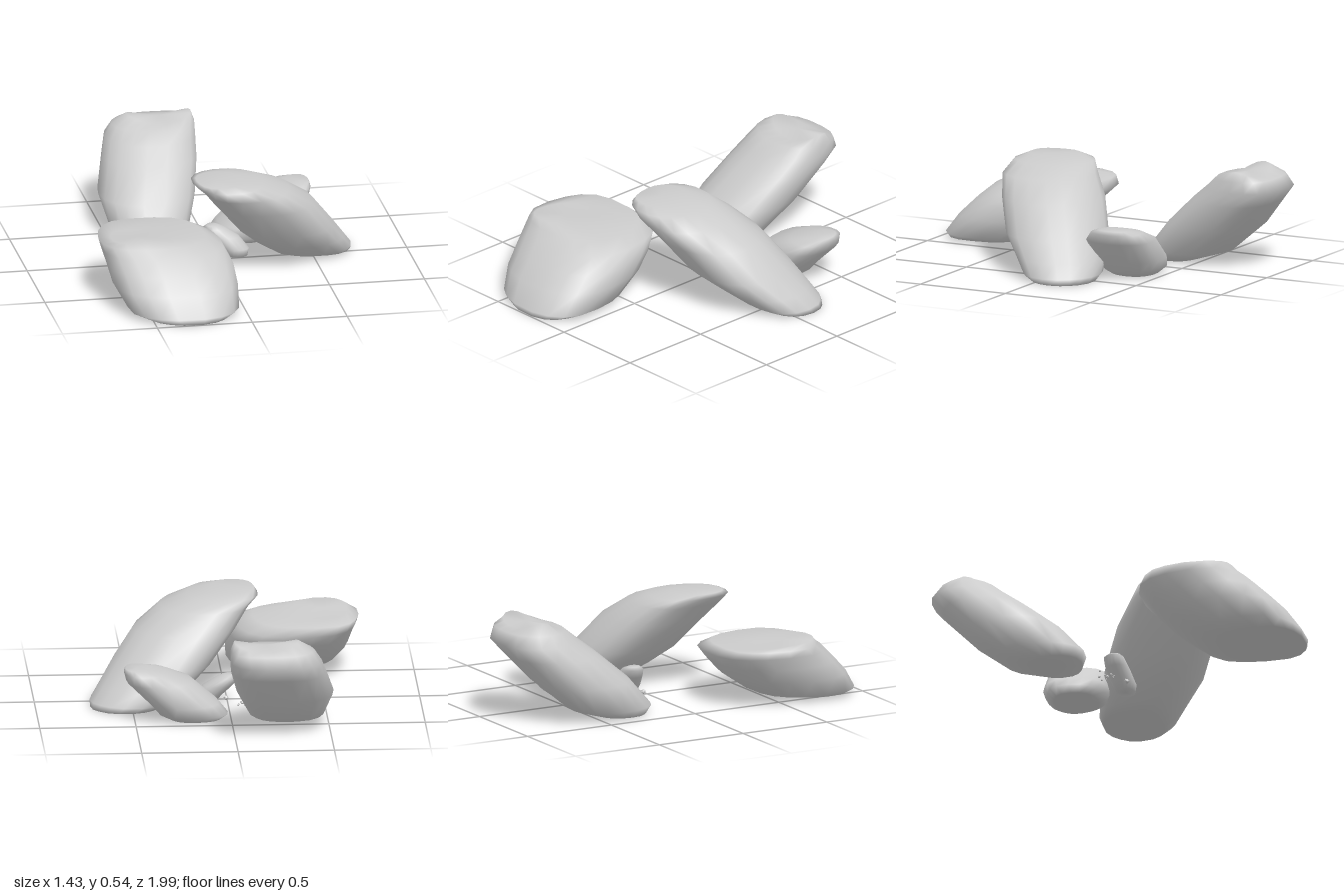
import * as THREE from 'three';

const SIDES = 18;
const material = new THREE.MeshStandardMaterial({ color: 0xcccccc, roughness: 0.9 });

// A leaning boulder lofted through horizontal sections: [y, xMin, xMax, zMin, zMax].
// power squares off the outline, saddle lifts two opposite sides of the crown,
// tilt raises the crown towards the front.
function boulder(name, sections, { power = 2.4, seed = 1, saddle = 0, tilt = 0 } = {}) {
  const pos = [], index = [];
  const last = sections.length - 1;
  const round = (v) => Math.sign(v) * Math.pow(Math.abs(v), 2 / power);
  const addRing = ([y, x0, x1, z0, z1], level) => {
    for (let j = 0; j < SIDES; j++) {
      const a = (j / SIDES) * Math.PI * 2;
      // Gentle inward chipping keeps the outline irregular
      const chip = 1 - 0.02 * (1 + Math.sin(a * 3 + seed * 1.7 + level * 0.4)) - 0.012 * (1 + Math.sin(a * 5 + seed * 2.9));
      const lift = level === last ? saddle * Math.cos(2 * a) + tilt * Math.sin(a) : 0;
      pos.push(
        (x0 + x1) / 2 + ((x1 - x0) / 2) * round(Math.cos(a)) * chip,
        y + lift,
        (z0 + z1) / 2 + ((z1 - z0) / 2) * round(Math.sin(a)) * chip);
    }
  };
  const addCentre = ([y, x0, x1, z0, z1]) =>
    pos.push((x0 + x1) / 2, y, (z0 + z1) / 2) / 3 - 1;

  sections.forEach(addRing);
  const under = addCentre(sections[0]);
  const crown = addCentre(sections[last]);
  const top = last * SIDES;
  for (let j = 0; j < SIDES; j++) {
    const k = (j + 1) % SIDES;
    for (let i = 0; i < top; i += SIDES) {
      index.push(i + j, i + SIDES + j, i + k, i + k, i + SIDES + j, i + SIDES + k);
    }
    // Base and crown
    index.push(under, j, k, crown, top + k, top + j);
  }
  const geometry = new THREE.BufferGeometry();
  geometry.setAttribute('position', new THREE.Float32BufferAttribute(pos, 3));
  geometry.setIndex(index);
  geometry.computeVertexNormals();
  const mesh = new THREE.Mesh(geometry, material);
  mesh.name = name;
  return mesh;
}

export function createModel() {
  const group = new THREE.Group();
  group.name = 'rockCluster';

  // Wide flat boulder at the front
  group.add(boulder('frontBoulder', [
    [0, -0.52, -0.09, 0.58, 1.0],
    [0.03, -0.61, -0.02, 0.44, 1.01],
    [0.13, -0.67, -0.01, 0.29, 0.94],
    [0.21, -0.69, -0.02, 0.21, 0.86],
    [0.28, -0.71, -0.06, 0.14, 0.78],
    [0.32, -0.72, -0.15, 0.18, 0.71],
    [0.335, -0.66, -0.38, 0.36, 0.67],
  ], { power: 2.5, seed: 1, tilt: 0.015 }));

  // Largest boulder, leaning forward and to the side
  group.add(boulder('largeBoulder', [
    [0, 0.35, 0.72, -0.26, 0.06],
    [0.03, 0.28, 0.72, -0.27, 0.13],
    [0.1, 0.18, 0.67, -0.25, 0.21],
    [0.2, 0.07, 0.6, -0.21, 0.32],
    [0.36, -0.06, 0.48, -0.12, 0.41],
    [0.46, -0.13, 0.34, -0.03, 0.47],
    [0.51, -0.18, 0.2, 0.03, 0.46],
    [0.53, -0.16, 0.07, 0.13, 0.41],
  ], { power: 2.3, seed: 2 }));

  // Tall boulder leaning backward
  group.add(boulder('backBoulder', [
    [0, -0.42, -0.13, -0.46, -0.19],
    [0.05, -0.49, -0.08, -0.63, -0.17],
    [0.2, -0.53, -0.01, -0.81, -0.3],
    [0.35, -0.48, 0.03, -0.94, -0.47],
    [0.43, -0.45, 0.04, -1.01, -0.57],
    [0.49, -0.41, 0.04, -0.97, -0.64],
    [0.52, -0.33, 0.02, -0.9, -0.72],
  ], { power: 2.3, seed: 3, saddle: 0.02 }));

  // Smaller slab behind the largest boulder
  group.add(boulder('sideBoulder', [
    [0, 0.05, 0.32, -0.45, -0.21],
    [0.03, 0.01, 0.38, -0.49, -0.18],
    [0.09, 0.06, 0.43, -0.52, -0.16],
    [0.21, 0.2, 0.55, -0.53, -0.17],
    [0.26, 0.33, 0.56, -0.5, -0.22],
    [0.28, 0.43, 0.55, -0.45, -0.28],
  ], { seed: 4 }));

  // Little stone in the gap
  group.add(boulder('smallStone', [
    [0, 0.06, 0.17, -0.1, 0],
    [0.04, 0.03, 0.18, -0.12, 0.01],
    [0.1, -0.03, 0.13, -0.14, -0.01],
    [0.145, -0.06, 0.06, -0.14, -0.03],
    [0.16, -0.04, 0.02, -0.12, -0.05],
  ], { power: 2.1, seed: 5 }));

  // Scattered pebbles: [x, z, radius]
  const pebbles = new THREE.Group();
  pebbles.name = 'pebbles';
  [[-0.16, -0.125, 0.006], [-0.09, -0.145, 0.008], [-0.05, -0.14, 0.006], [-0.075, -0.105, 0.01],
    [-0.07, -0.075, 0.006], [-0.1, -0.08, 0.008], [-0.11, -0.11, 0.006], [-0.055, -0.115, 0.005],
    [-0.09, -0.065, 0.005], [0.005, -0.02, 0.014]].forEach(([x, z, r], i) => {
    const pebble = new THREE.Mesh(new THREE.IcosahedronGeometry(r, 0), material);
    pebble.name = 'pebble';
    pebble.position.set(x, r * 0.9, z);
    pebble.rotation.y = i * 1.3;
    pebbles.add(pebble);
  });
  group.add(pebbles);

  return group;
}
